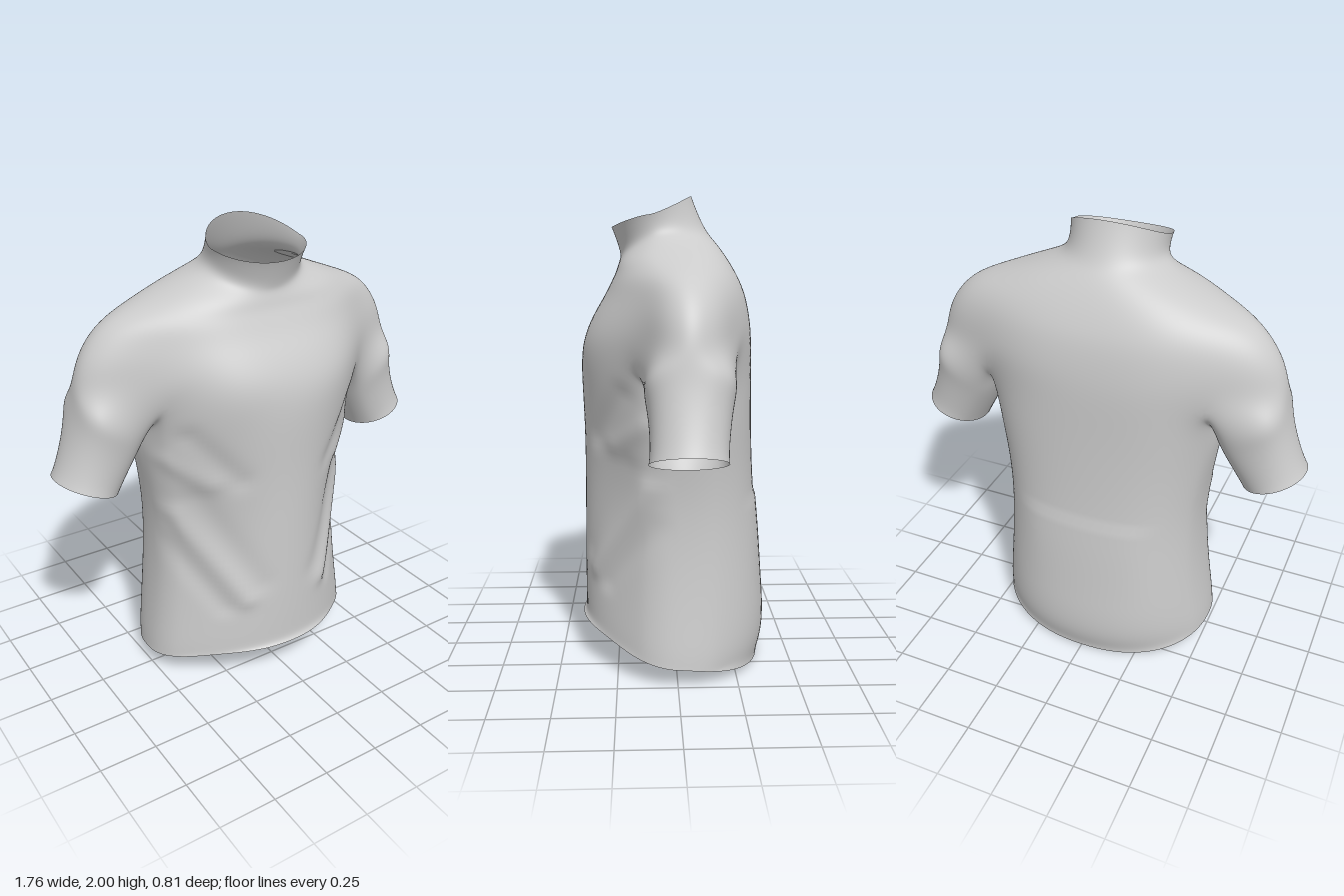
import * as THREE from 'three';
import { mergeGeometries, mergeVertices } from 'three/addons/utils/BufferGeometryUtils.js';

const N = 192;      // columns around the body
const K = 28;       // columns from the side line to the armhole
const rad = THREE.MathUtils.degToRad, lerp = THREE.MathUtils.lerp, smooth = THREE.MathUtils.smoothstep;
const pow = (v, e) => Math.sign(v) * Math.abs(v) ** e;
const ring = (n, f) => Array.from({ length: n }, (_, j) => f(j));

// Skins closed rings, ordered from low to high, with a smooth surface
function loft(rings) {
  const cols = rings[0].length, steps = (rings.length - 1) * 8, pos = [], idx = [];
  const curves = rings[0].map((_, j) => new THREE.CatmullRomCurve3(rings.map(r => r[j])));
  for (let i = 0; i <= steps; i++)
    for (const c of curves) pos.push(...c.getPoint(i / steps).toArray());
  for (let i = 0; i < steps; i++)
    for (let j = 0; j < cols; j++) {
      const k = (j + 1) % cols;
      const a = i * cols + j, b = i * cols + k, c = a + cols, d = b + cols;
      idx.push(a, c, b, b, c, d);
    }
  const g = new THREE.BufferGeometry();
  g.setAttribute('position', new THREE.Float32BufferAttribute(pos, 3));
  return g.setIndex(idx);
}

// Relaxes the cloth towards its neighbours, keeping the open edges in place
function relax(g, rounds) {
  const pos = g.attributes.position.array, idx = g.index.array, count = pos.length / 3;
  const near = Array.from({ length: count }, () => new Map());
  const link = (a, b) => near[a].set(b, (near[a].get(b) || 0) + 1);
  for (let i = 0; i < idx.length; i += 3)
    for (let k = 0; k < 3; k++) {
      const a = idx[i + k], b = idx[i + (k + 1) % 3];
      link(a, b);
      link(b, a);
    }
  const edge = near.map(m => [...m.values()].includes(1)), keys = near.map(m => [...m.keys()]);
  for (let r = 0; r < rounds; r++) {
    const old = pos.slice();
    for (let v = 0; v < count; v++) {
      if (edge[v]) continue;
      for (let c = 0; c < 3; c++) {
        const sum = keys[v].reduce((t, n) => t + old[n * 3 + c], 0);
        pos[v * 3 + c] = (old[v * 3 + c] + sum / keys[v].length) / 2;
      }
    }
  }
}

// Shoulders and collar: y front, y side, y back, half width, z side,
// front arm depth, chest depth, back arm depth, back depth, squareness
const YOKE = [
  [1.38, 1.4, 1.38, 0.77, -0.03, 0.18, 0.255, 0.2, 0.1, 4],
  [1.5, 1.5, 1.5, 0.745, -0.03, 0.18, 0.2, 0.2, 0.085, 4],
  [1.58, 1.59, 1.59, 0.69, -0.03, 0.175, 0.155, 0.19, 0.075, 3.8],
  [1.64, 1.66, 1.65, 0.615, -0.02, 0.165, 0.125, 0.18, 0.07, 3.5],
  [1.68, 1.71, 1.7, 0.5, -0.01, 0.16, 0.1, 0.17, 0.065, 3],
  [1.715, 1.755, 1.76, 0.38, 0.01, 0.155, 0.075, 0.175, 0.045, 2.6],
  [1.745, 1.795, 1.81, 0.28, 0.03, 0.17, 0.03, 0.2, 0.005, 2.2],
  [1.765, 1.83, 1.845, 0.215, 0.06, 0.172, 0, 0.205, 0, 2],
  [1.81, 1.87, 1.91, 0.205, 0.09, 0.155, 0, 0.2, 0, 2],
  [1.87, 1.915, 2.0, 0.212, 0.11, 0.157, 0, 0.183, 0, 2],
];
const yokeRing = ([yf, ys, yb, w, zs, armF, humpF, armB, humpB, n]) => ring(N, j => {
  const a = j / N * Math.PI * 2, c = Math.cos(a), s = Math.sin(a), x = w * c;
  const round = Math.sqrt(Math.max(0, 1 - Math.abs(c) ** n));
  const hump = Math.exp(-((x / 0.44) ** 4)) * Math.min(1, Math.abs(s) * 4);
  const z = s > 0 ? zs + armF * round + humpF * hump : zs - armB * round - humpB * hump;
  return new THREE.Vector3(x, lerp(ys, s > 0 ? yf : yb, Math.abs(s) ** 1.3), z);
});

// Torso rings: y front, y side, y back, half width, z front, z back, z side,
// pinch of the front corners, back roundness
const TORSO = [
  [0.17, 0.08, 0.0, 0.51, 0.41, -0.37, 0, 0.09, 0.9],
  [0.22, 0.14, 0.08, 0.505, 0.41, -0.4, 0, 0.09, 0.9],
  [0.32, 0.28, 0.2, 0.485, 0.412, -0.41, 0, 0.1, 0.86],
  [0.5, 0.5, 0.48, 0.46, 0.412, -0.383, 0, 0.12, 0.8],
  [0.75, 0.75, 0.75, 0.452, 0.41, -0.352, 0, 0.14, 0.76],
  [1.0, 0.96, 1.0, 0.48, 0.407, -0.34, 0, 0.11, 0.76],
  [1.2, 1.1, 1.2, 0.5, 0.412, -0.335, -0.01, 0.05, 0.74],
];
const torsoRing = ([yf, ys, yb, w, zf, zb, zs, pinch, round]) => ring(N, j => {
  const m = (j + K) % N, h = m % (N / 2), front = N / 2 - 2 * K;
  const deg = (m < N / 2 ? 0 : 180) + (h < 2 * K ? -23 + 46 * h / (2 * K) : 23 + 134 * (h - 2 * K) / front);
  const c = Math.cos(rad(deg)), s = Math.sin(rad(deg)), e = s > 0 ? 0.93 : round;
  const r = s > 0 ? 1 - pinch * Math.sin(2 * rad(deg)) ** 2 : 1;
  return new THREE.Vector3(
    w * r * pow(c, e),
    lerp(ys, s > 0 ? yf : yb, Math.abs(s) ** 1.3),
    zs + (s > 0 ? zf - zs : zs - zb) * r * pow(s, e));
});

// Sleeve rings from cuff to armhole: outer x, y, inner x, y, z front, z back, roundness
const SLEEVE = [
  [0.88, 1.04, 0.62, 0.94, 0.12, -0.18, 1],
  [0.83, 1.16, 0.575, 1.02, 0.12, -0.19, 0.92],
  [0.795, 1.27, 0.53, 1.11, 0.13, -0.205, 0.8],
  [0.78, 1.34, 0.505, 1.18, 0.145, -0.22, 0.7],
];
const sleeveRing = ([ox, oy, ix, iy, zf, zb, e]) => ring(4 * K, j => {
  const a = rad(j < 2 * K ? -120 + 120 * j / K : 120 + 60 * (j - 2 * K) / K);
  const c = pow(Math.cos(a), e) / 2, s = pow(Math.sin(a), e) / 2;
  return new THREE.Vector3((ox + ix) / 2 + (ox - ix) * c, (oy + iy) / 2 + (oy - iy) * c, (zf + zb) / 2 + (zf - zb) * s);
});

// Cloth folds on the front: x1, y1, x2, y2, height, thickness
const FOLDS = [
  [0.2, 0.42, 0.43, 0.82, 0.014, 0.04],
  [0.28, 0.38, 0.45, 0.66, -0.009, 0.04],
  [0.14, 0.5, 0.36, 0.9, -0.008, 0.05],
  [0.22, 1.0, 0.4, 1.2, -0.01, 0.045],
  [0.32, 0.98, 0.46, 1.08, 0.009, 0.04],
];
function drape(p) {
  const x = Math.abs(p.x);
  let push = 0;
  if (p.z > 0) {
    for (const [x1, y1, x2, y2, h, t] of FOLDS) {
      const dx = x2 - x1, dy = y2 - y1;
      const u = THREE.MathUtils.clamp(((x - x1) * dx + (p.y - y1) * dy) / (dx * dx + dy * dy), 0, 1);
      const d = Math.hypot(x - x1 - u * dx, p.y - y1 - u * dy);
      push += h * Math.exp(-d * d / (t * t));
    }
    push *= Math.min(1, p.z / 0.15);
  } else {
    // Rear pocket edge across the lower back
    push = 0.008 * (1 - smooth(p.y, 0.71, 0.75)) * smooth(p.y, 0.3, 0.65) * (1 - smooth(x, 0.2, 0.36));
  }
  return p.addScaledVector(new THREE.Vector3(p.x, 0, p.z * 1.5).normalize(), push);
}

function shirtGeometry() {
  const yoke = YOKE.map(yokeRing), split = yoke[0];
  // Underarm line from the front of the armhole to its back
  const front = split[K], back = split[N - K];
  const underarm = t => {
    const p = front.clone().lerp(back, t), dip = Math.sin(Math.PI * t);
    return p.set(p.x + 0.025 * dip, p.y - 0.18 * dip, p.z);
  };
  const torsoTop = ring(N, j => {
    const m = (j + K) % N, h = m % (N / 2);
    if (h > 2 * K) return split[j];
    if (m < N / 2) return underarm(1 - h / (2 * K));
    return underarm(h / (2 * K)).multiply(new THREE.Vector3(-1, 1, 1));
  });
  const armhole = ring(4 * K, j => j <= 2 * K ? split[(N - K + j) % N] : underarm((j - 2 * K) / (2 * K)));
  const left = loft([...SLEEVE.map(sleeveRing), armhole]);
  const right = left.clone().scale(-1, 1, 1);
  right.setIndex([...right.index.array].reverse());

  // Join the panels into one seamless cloth, then add the folds
  const g = mergeVertices(mergeGeometries([loft(yoke), loft([...TORSO.map(torsoRing), torsoTop]), left, right]), 1e-4);
  relax(g, 40);
  const pos = g.attributes.position, p = new THREE.Vector3();
  for (let i = 0; i < pos.count; i++) {
    drape(p.fromBufferAttribute(pos, i));
    pos.setXYZ(i, p.x, p.y, p.z);
  }
  g.computeVertexNormals();
  return g;
}

export function createModel() {
  const model = new THREE.Group();
  model.name = 'jersey';
  const fabric = new THREE.MeshStandardMaterial({ color: 0xcccccc, side: THREE.DoubleSide });
  // Body, sleeves and standing collar
  const shirt = new THREE.Mesh(shirtGeometry(), fabric);
  shirt.name = 'shirt';
  // Small block inside the hem
  const block = new THREE.Mesh(new THREE.BoxGeometry(0.052, 0.052, 0.052), fabric);
  block.name = 'smallBlock';
  block.position.set(0, 0.095, 0.12);
  model.add(shirt, block);
  return model;
}
